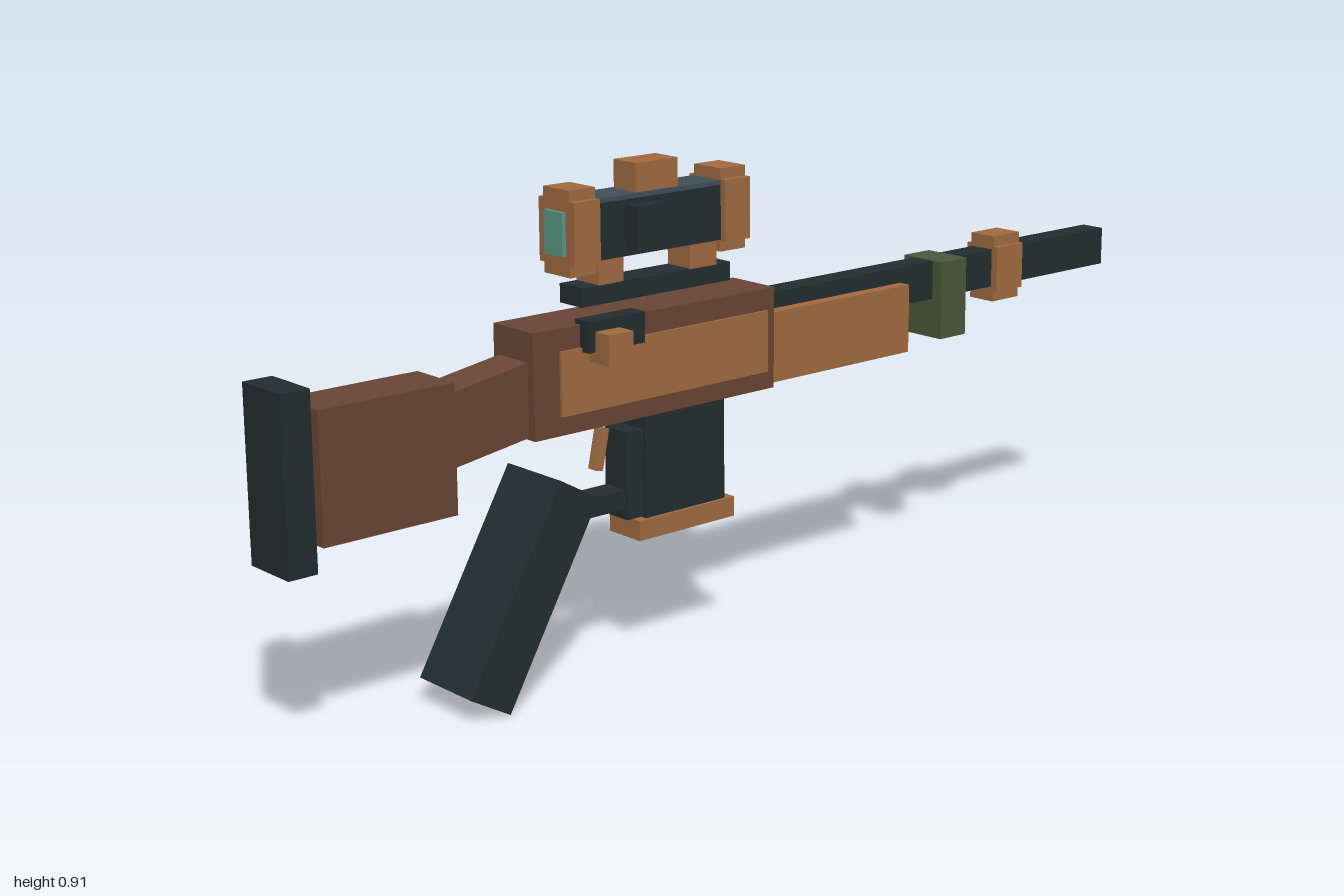
import * as THREE from 'three';

const material = (name, color) => {
  const m = new THREE.MeshStandardMaterial({ color });
  m.name = name;
  return m;
};

export function createModel() {
  const dark = material('gunmetal', 0x222e30);
  const wood = material('brown wood', 0x6b4636);
  const tan = material('copper tan', 0xa26b41);
  const green = material('olive green', 0x4a5a3a);
  const teal = material('teal glass', 0x5a9a88);
  const slate = material('slate blue', 0x41505b);

  const model = new THREE.Group();
  model.name = 'rifle';

  // Box given by its extents on each axis
  function block(name, mat, [x0, x1], [y0, y1], [z0, z1], parent = model) {
    const mesh = new THREE.Mesh(new THREE.BoxGeometry(x1 - x0, y1 - y0, z1 - z0), mat);
    mesh.position.set((x0 + x1) / 2, (y0 + y1) / 2, (z0 + z1) / 2);
    mesh.name = name;
    parent.add(mesh);
    return mesh;
  }

  // Stepped ring: a plus-shaped section extruded along x
  function steppedRing(name, [x0, x1], yMid, zMid, hTall, hShort, wNarrow, wWide, parent = model) {
    const a = wNarrow / 2, b = wWide / 2, c = hShort / 2, d = hTall / 2;
    const shape = new THREE.Shape([
      [a, -d], [a, -c], [b, -c], [b, c], [a, c], [a, d],
      [-a, d], [-a, c], [-b, c], [-b, -c], [-a, -c], [-a, -d],
    ].map(([u, v]) => new THREE.Vector2(u, v)));
    const geo = new THREE.ExtrudeGeometry(shape, { depth: x1 - x0, bevelEnabled: false });
    geo.rotateY(Math.PI / 2);
    const mesh = new THREE.Mesh(geo, tan);
    mesh.position.set(x0, yMid, zMid);
    mesh.name = name;
    parent.add(mesh);
  }

  // Barrel and its fittings
  block('barrel', dark, [0.03, 1], [0.56, 0.635], [-0.043, 0.007]);
  steppedRing('muzzleRing', [0.66, 0.735], 0.596, -0.018, 0.132, 0.09, 0.06, 0.08);
  block('barrelBlock', green, [0.49, 0.56], [0.483, 0.636], [-0.07, 0.031]);
  block('handguard', tan, [0.04, 0.4], [0.473, 0.605], [-0.07, 0.031]);

  // Receiver with side panels
  block('receiver', wood, [-0.51, 0.04], [0.466, 0.654], [-0.073, 0.037]);
  block('leftPanel', tan, [-0.455, 0.02], [0.5, 0.614], [0.037, 0.043]);
  block('rightPanel', tan, [-0.455, 0.02], [0.5, 0.614], [-0.08, -0.073]);

  // Bolt handle
  block('boltHousing', dark, [-0.41, -0.285], [0.607, 0.662], [0.024, 0.06]);
  block('boltKnob', tan, [-0.395, -0.342], [0.588, 0.643], [0.045, 0.097]);

  // Stock: sloping neck, body and butt plate
  const neckShape = new THREE.Shape([
    [-0.68, 0.445], [-0.51, 0.47], [-0.51, 0.601], [-0.68, 0.574],
  ].map(([x, y]) => new THREE.Vector2(x, y)));
  const neck = new THREE.Mesh(
    new THREE.ExtrudeGeometry(neckShape, { depth: 0.08, bevelEnabled: false }), wood);
  neck.position.z = -0.059;
  neck.name = 'stockNeck';
  model.add(neck);
  block('stock', wood, [-0.932, -0.67], [0.37, 0.597], [-0.071, 0.033]);
  block('buttPlate', dark, [-1, -0.945], [0.33, 0.635], [-0.075, 0.034]);

  // Grip, trigger and guard
  const grip = block('grip', dark, [-0.577, -0.483], [-0.003, 0.397], [-0.094, 0.055]);
  grip.rotation.z = -Math.PI / 6;
  const trigger = block('trigger', tan, [-0.336, -0.32], [0.37, 0.446], [-0.03, -0.008]);
  trigger.rotation.z = -0.21;
  block('guardBar', dark, [-0.42, -0.25], [0.295, 0.33], [-0.044, 0.008]);
  block('guardPost', dark, [-0.29, -0.25], [0.275, 0.436], [-0.048, 0.012]);

  // Magazine
  block('magazine', dark, [-0.252, -0.065], [0.27, 0.467], [-0.053, 0.018]);
  block('magazineBase', tan, [-0.272, -0.046], [0.235, 0.272], [-0.06, 0.024]);

  // Scope
  const scope = new THREE.Group();
  scope.name = 'scope';
  model.add(scope);
  const zNarrow = [-0.048, 0.012];
  block('scopeRail', dark, [-0.385, -0.045], [0.675, 0.709], zNarrow, scope);
  block('scopeTube', dark, [-0.36, -0.065], [0.753, 0.852], [-0.056, 0.018], scope);
  block('scopeTopPlate', slate, [-0.36, -0.065], [0.852, 0.86], [-0.056, 0.018], scope);
  for (const [x0, x1] of [[-0.413, -0.356], [-0.072, -0.013]])
    steppedRing('scopeRing', [x0, x1], 0.806, -0.018, 0.15, 0.112, 0.07, 0.096, scope);
  for (const [x0, x1] of [[-0.348, -0.292], [-0.14, -0.077]])
    block('scopeMount', tan, [x0, x1], [0.708, 0.77], zNarrow, scope);
  for (const [x0, x1] of [[-0.421, -0.413], [-0.013, -0.004]])
    block('scopeLens', teal, [x0, x1], [0.767, 0.843], [-0.043, 0.007], scope);
  block('topTurret', tan, [-0.262, -0.167], [0.85, 0.911], zNarrow, scope);
  block('sideTurret', dark, [-0.29, -0.217], [0.768, 0.843], [0.018, 0.048], scope);

  return model;
}
